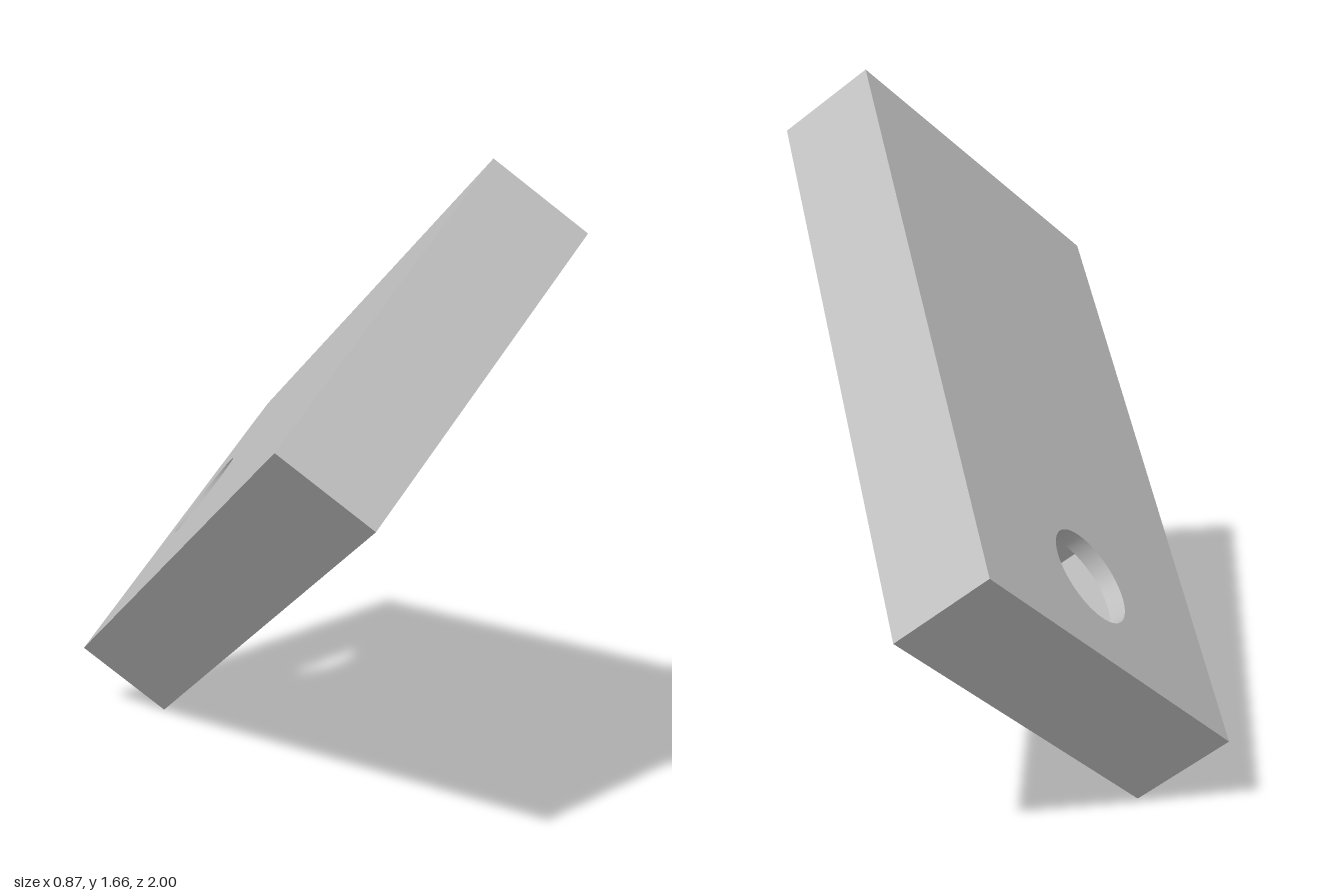
import * as THREE from 'three';
import { toCreasedNormals } from 'three/addons/utils/BufferGeometryUtils.js';

// Slab size, and the hole's place and sizes
const W = 0.942, L = 1.81, T = 0.283;
const HOLE_Y = -0.632, HEX_R = 0.225, BORE_R = 0.131, POCKET = 0.237;

// Counter-clockwise ring of n points around the hole's axis
function ring(n, r) {
  return Array.from({ length: n }, (_, i) => {
    const a = (i / n) * Math.PI * 2;
    return new THREE.Vector2(r * Math.cos(a), HOLE_Y + r * Math.sin(a));
  });
}

// Flat plate with one hole
function plate(outline, hole) {
  const shape = new THREE.Shape(outline);
  shape.holes.push(new THREE.Path(hole));
  return new THREE.ShapeGeometry(shape);
}

// Band of quads along an outline; a reversed outline faces inward
function wall(points, z0, z1) {
  const pos = [];
  points.forEach((p, i) => {
    const q = points[(i + 1) % points.length];
    pos.push(p.x, p.y, z0, q.x, q.y, z0, q.x, q.y, z1);
    pos.push(p.x, p.y, z0, q.x, q.y, z1, p.x, p.y, z1);
  });
  const geo = new THREE.BufferGeometry();
  geo.setAttribute('position', new THREE.Float32BufferAttribute(pos, 3));
  geo.computeVertexNormals();
  return toCreasedNormals(geo, 0.4);
}

export function createModel() {
  const grey = new THREE.MeshStandardMaterial({ color: 0xc0c0c0 });
  grey.name = 'grey';
  const group = new THREE.Group();
  group.name = 'plateWithNutPocket';
  const add = (name, geo) => {
    const mesh = new THREE.Mesh(geo, grey);
    mesh.name = name;
    group.add(mesh);
  };

  const rect = [[-1, -1], [1, -1], [1, 1], [-1, 1]]
    .map(([x, y]) => new THREE.Vector2(x * W / 2, y * L / 2));
  const hex = ring(6, HEX_R), bore = ring(64, BORE_R);
  const floorZ = T / 2 - POCKET;

  // Slab: outer sides and the two large faces
  add('slabSides', wall(rect, -T / 2, T / 2));
  add('pocketFace', plate(rect, hex).translate(0, 0, T / 2));
  add('boreFace', plate(rect, bore).rotateY(Math.PI).translate(0, 0, -T / 2));

  // Hexagonal pocket leading into a round bore
  add('pocketWalls', wall([...hex].reverse(), floorZ, T / 2));
  add('pocketFloor', plate(hex, bore).translate(0, 0, floorZ));
  add('boreWall', wall([...bore].reverse(), -T / 2, floorZ));

  // Tilted pose: width, length and thickness directions
  const s = Math.SQRT1_2, c = Math.sqrt(3) / 2;
  const pose = new THREE.Matrix4().makeBasis(
    new THREE.Vector3(s, s * c, -s / 2),
    new THREE.Vector3(0, 0.5, c),
    new THREE.Vector3(s, -s * c, s / 2));
  group.quaternion.setFromRotationMatrix(pose);
  group.position.y = 0.828;
  return group;
}
